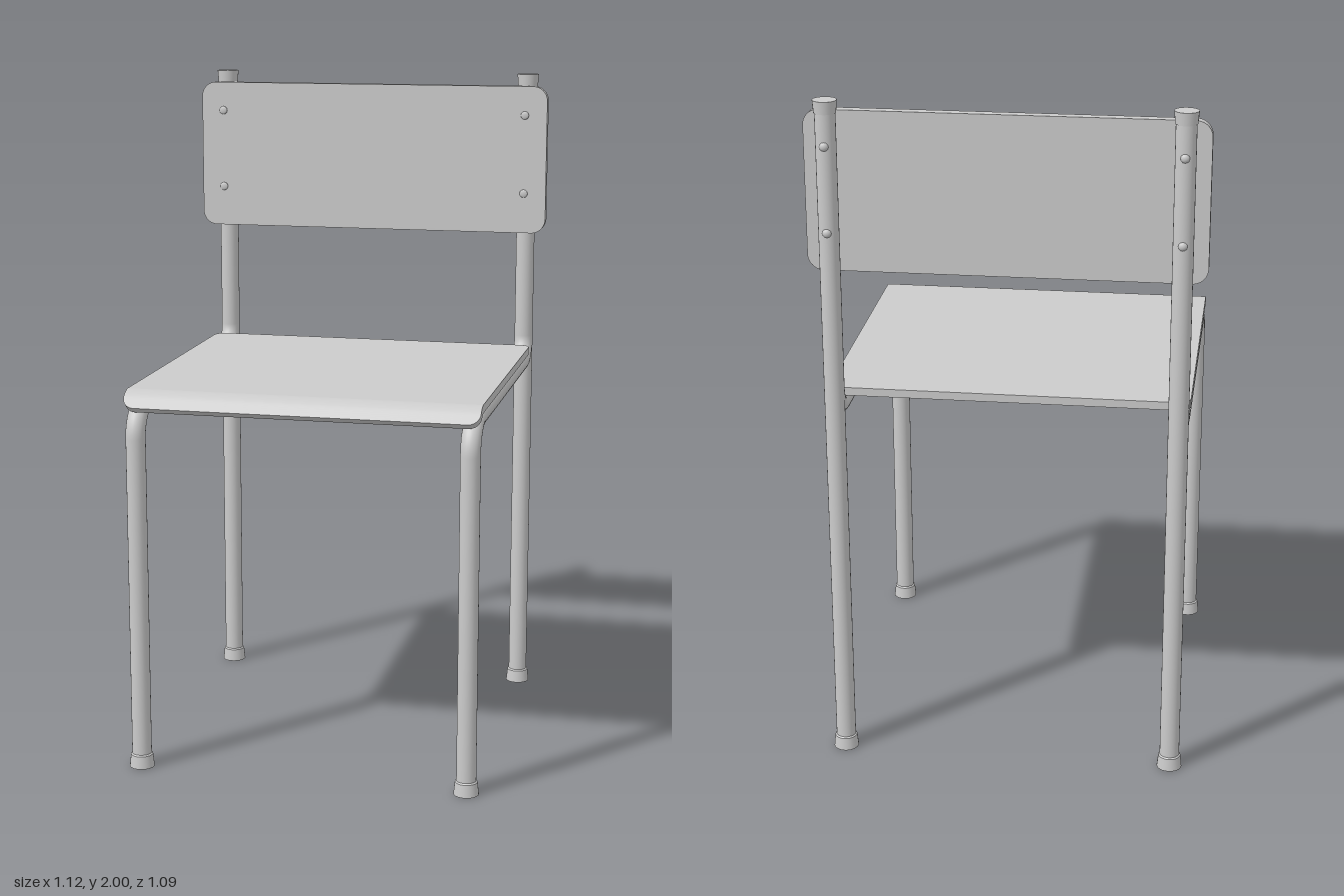
import * as THREE from 'three';

const LEG_X = 0.49, FRONT_Z = 0.508, BACK_Z = -0.507, R = 0.029;
const mat = new THREE.MeshStandardMaterial({ color: 0xcccccc });

function add(group, name, geometry, x = 0, y = 0, z = 0) {
  const mesh = new THREE.Mesh(geometry, mat);
  mesh.name = name;
  mesh.position.set(x, y, z);
  group.add(mesh);
  return mesh;
}

// Seat: a thin board swept from back to front, with a lip rolled downwards
// and rounded corners in plan.
function seatGeometry() {
  const half = 0.52, corner = 0.035, t = 0.012, back = -0.452, y = 1.132;
  const bendZ = 0.475, bendR = 0.05, bendA = 0.88, tail = 0.03;
  const flat = bendZ - back, arc = bendR * bendA, total = flat + arc + tail;
  const stops = [];
  for (let i = 0; i <= 8; i++) {
    const d = corner * (1 - Math.cos((i / 8) * Math.PI / 2));
    stops.push(d, total - d);
  }
  for (let i = 0; i <= 10; i++) stops.push(flat + (arc * i) / 10);
  stops.sort((a, b) => a - b);
  // Four corners of the section at distance s along the board
  const section = (s) => {
    const a = THREE.MathUtils.clamp((s - flat) / bendR, 0, bendA);
    const straight = Math.max(0, s - flat - arc);
    const z = back + Math.min(s, flat) + bendR * Math.sin(a) + straight * Math.cos(a);
    const h = y - bendR * (1 - Math.cos(a)) - straight * Math.sin(a);
    const e = Math.max(0, corner - Math.min(s, total - s));
    const w = half - corner + Math.sqrt(Math.max(0, corner * corner - e * e));
    const ny = t * Math.cos(a), nz = t * Math.sin(a);
    return [[-w, h + ny, z + nz], [w, h + ny, z + nz], [w, h - ny, z - nz], [-w, h - ny, z - nz]];
  };
  const pos = [];
  const quad = (a, b, c, d) => pos.push(...a, ...b, ...c, ...a, ...c, ...d);
  const rings = stops.map(section);
  for (let i = 0; i < rings.length - 1; i++) {
    const p = rings[i], q = rings[i + 1];
    for (let k = 0; k < 4; k++) quad(p[k], q[k], q[(k + 1) % 4], p[(k + 1) % 4]);
  }
  const first = rings[0], last = rings[rings.length - 1];
  quad(first[0], first[1], first[2], first[3]);
  quad(last[3], last[2], last[1], last[0]);
  const g = new THREE.BufferGeometry();
  g.setAttribute('position', new THREE.Float32BufferAttribute(pos, 3));
  g.computeVertexNormals();
  return g;
}

// Backrest: rounded rectangle panel
function backrestGeometry() {
  const w = 0.56, h = 0.23, r = 0.045;
  const s = new THREE.Shape();
  s.absarc(w - r, h - r, r, 0, Math.PI / 2);
  s.absarc(-w + r, h - r, r, Math.PI / 2, Math.PI);
  s.absarc(-w + r, -h + r, r, Math.PI, Math.PI * 1.5);
  s.absarc(w - r, -h + r, r, Math.PI * 1.5, Math.PI * 2);
  return new THREE.ExtrudeGeometry(s, { depth: 0.03, bevelEnabled: false, curveSegments: 10 });
}

// Front leg and seat rail: one tube bent twice, ending inside the rear post
function railGeometry() {
  const v = (y, z) => new THREE.Vector3(0, y, z);
  const railY = 1.094, f = 0.09, b = 0.075, k = 0.448;
  const path = new THREE.CurvePath();
  path.add(new THREE.LineCurve3(v(0.02, FRONT_Z), v(railY - f, FRONT_Z)));
  path.add(new THREE.CubicBezierCurve3(v(railY - f, FRONT_Z), v(railY - f * k, FRONT_Z),
    v(railY, FRONT_Z - f * k), v(railY, FRONT_Z - f)));
  path.add(new THREE.LineCurve3(v(railY, FRONT_Z - f), v(railY, BACK_Z + b)));
  path.add(new THREE.CubicBezierCurve3(v(railY, BACK_Z + b), v(railY, BACK_Z + b * k),
    v(railY + b * k, BACK_Z), v(railY + b, BACK_Z)));
  return new THREE.TubeGeometry(path, 160, R, 24);
}

export function createModel() {
  const chair = new THREE.Group();
  chair.name = 'chair';
  add(chair, 'seat', seatGeometry());
  add(chair, 'backrest', backrestGeometry(), 0, 1.735, -0.477);

  const rail = railGeometry();
  const post = new THREE.CylinderGeometry(R, R, 1.96, 24);
  const foot = new THREE.LatheGeometry([[0, 0], [0.037, 0], [0.037, 0], [0.033, 0.038],
    [0.033, 0.038], [R, 0.042]].map(([x, y]) => new THREE.Vector2(x, y)), 24);
  const cap = new THREE.CylinderGeometry(0.034, 0.031, 0.036, 24);
  const screwHead = new THREE.SphereGeometry(0.013, 12, 6, 0, Math.PI * 2, 0, Math.PI / 2);

  for (const [side, sign] of [['left', 1], ['right', -1]]) {
    const frame = new THREE.Group();
    frame.name = side + 'Frame';
    frame.position.x = sign * LEG_X;
    chair.add(frame);
    add(frame, 'frontLegAndRail', rail);
    add(frame, 'rearPost', post, 0, 1.0, BACK_Z);
    add(frame, 'postCap', cap, 0, 1.982, BACK_Z);
    add(frame, 'frontFoot', foot, 0, 0, FRONT_Z);
    add(frame, 'rearFoot', foot, 0, 0, BACK_Z);
    // Screws through post and backrest
    for (const y of [1.63, 1.875]) {
      const back = add(frame, 'rearScrewHead', screwHead, 0, y, BACK_Z - R + 0.003);
      back.rotation.x = -Math.PI / 2;
      back.scale.y = 0.8;
      const front = add(frame, 'frontScrewHead', screwHead, 0, y, -0.447);
      front.rotation.x = Math.PI / 2;
      front.scale.y = 0.35;
    }
  }
  return chair;
}
